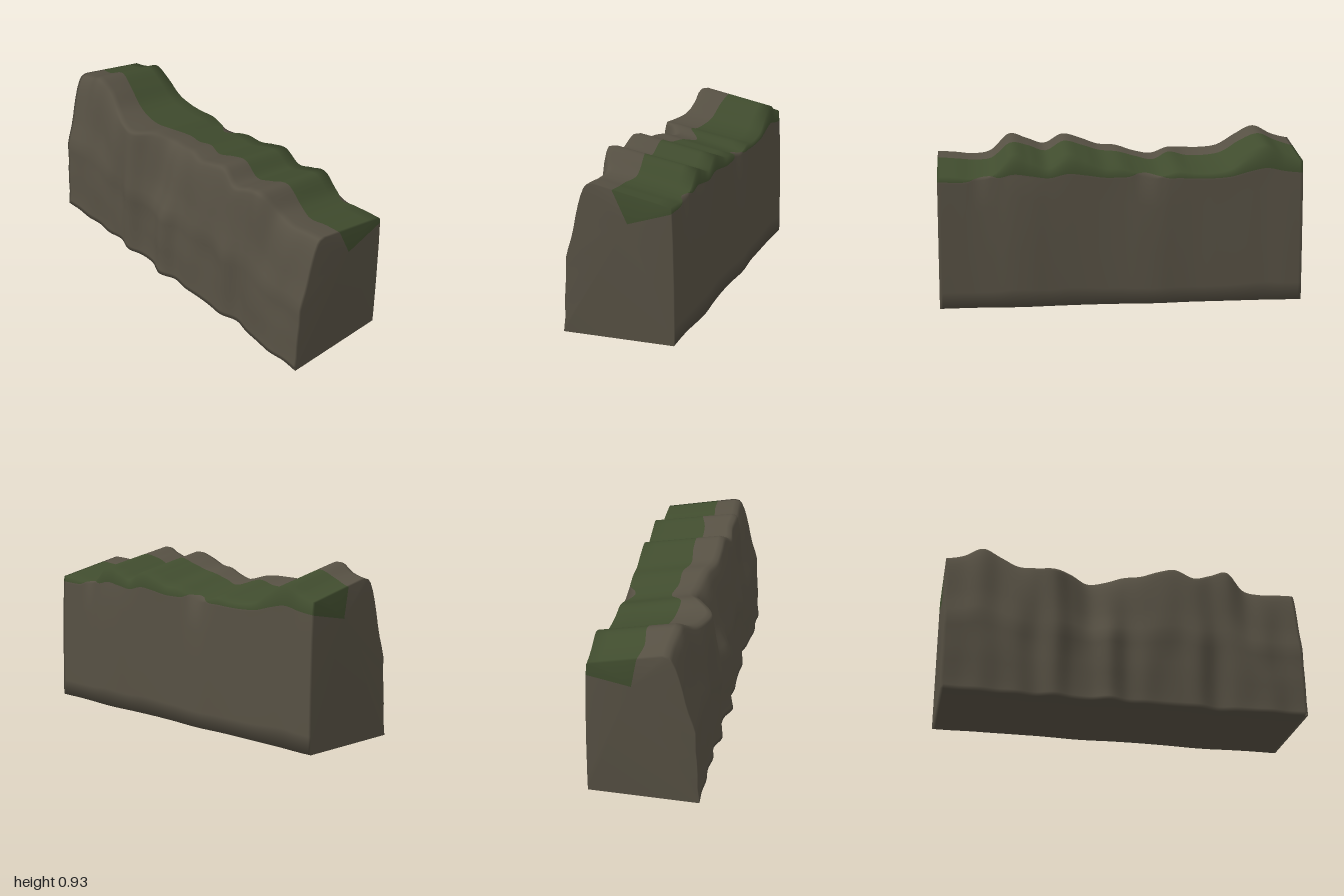
import * as THREE from 'three';

// Smooth curve through values spaced evenly from x = -1 to x = 1
function along(values) {
  const curve = new THREE.SplineCurve(values.map((v, i) => new THREE.Vector2(i, v)));
  return (x) => curve.getPoint((x + 1) / 2).y;
}

// Height of the ridge
const ridge = along([.86, .885, .93, .885, .82, .80, .80, .81, .785, .80, .83,
  .835, .87, .893, .84, .87, .895, .81, .79, .80, .807]);
// Depth of the upper front edge
const crest = along([.13, .13, .15, .15, .18, .22, .235, .16, .11, .12, .14,
  .17, .18, .18, .2, .19, .2, .16, .165, .16, .155]);
// Depth of the foot of the front face
const foot = along([.29, .285, .29, .28, .29, .275, .305, .28, .28, .315, .28,
  .29, .285, .285, .29, .26, .28, .29, .30, .29, .297]);
// Front limit of the moss
const mossEdge = along([-.03, -.01, -.02, 0, .02, .04, .05, .05, -.02, 0, 0,
  .03, .02, .02, .03, .03, 0, 0, .03, .02, .02]);
// Depth of the foot of the back face
const backFoot = along([-.305, -.305, -.3, -.3, -.3, -.3, -.3, -.305, -.312, -.31, -.303,
  -.3, -.3, -.303, -.308, -.315, -.315, -.308, -.303, -.303, -.305]);

// Front face profile: [share of the height, share of the way from foot to crest]
const face = [[0, 0], [.03, .02], [.1, .07], [.2, .07], [.3, .1], [.37, .14], [.44, .145], [.5, .15],
  [.56, .24], [.63, .37], [.7, .47], [.78, .56], [.86, .67], [.92, .77], [.97, .89]];
const MOSS_START = face.length + 2;
const MOSS_END = MOSS_START + 5;

const bump = (x, centre, width) => Math.exp(-(((x - centre) / width) ** 2));

// One cross-section [y, z], from the front foot over the top to the back foot
function section(x) {
  const h = ridge(x), c = crest(x), f = foot(x), m = mossEdge(x), b = backFoot(x);
  const edge = h - .085;
  const fade = Math.min(1, (1 - Math.abs(x)) * 6);
  const ring = face.map(([t, k]) => {
    const wave = Math.sin(x * 9 + t * 8) * .6 + Math.sin(x * 23 - t * 5) * .4;
    return [t * h, f + (c - f) * k + .01 * fade * wave * Math.sin(Math.PI * t)];
  });
  const topY = (z) => h - .085 * Math.max(0, c - .03 - z) / (c + .255);
  ring.push([h - .006, c], [h, c - .03]);

  // Point at a distance past the back edge: down the back, or on the top if negative
  const past = (d) => (d >= 0 ? [edge - d, -.285 - .006 * Math.min(1, d / .03)] : [topY(-.285 - d), -.285 - d]);
  // Moss hangs lower behind the peaks and leaves bare notches in the dips
  const hang = .03 + .6 * (h - .805) - .07 * bump(x, -.14, .07) - .05 * bump(x, .75, .06);
  const lastZ = -.285 - Math.min(0, hang);
  for (let k = 0; k < 5; k++) {
    const z = m + (lastZ - m) * k / 4;
    ring.push([topY(z), z]);
  }
  ring.push(past(hang), past(Math.max(0, hang) + .01));
  ring.push([edge * .75, b + .008], [edge * .4, b + .002], [edge * .12, b], [0, b]);
  return ring;
}

export function createModel() {
  const rock = new THREE.MeshStandardMaterial({ color: 0x565043 });
  rock.name = 'rock';
  const moss = new THREE.MeshStandardMaterial({ color: 0x404c2e });
  moss.name = 'moss';

  const columns = 120, positions = [], rockFaces = [], mossFaces = [];
  for (let i = 0; i <= columns; i++) {
    const x = -1 + 2 * i / columns;
    for (const [y, z] of section(x)) positions.push(x, y, z);
  }
  const rows = positions.length / 3 / (columns + 1);
  const facesOf = (j) => (j >= MOSS_START && j < MOSS_END ? mossFaces : rockFaces);

  // Front, top, back and underside
  for (let i = 0; i < columns; i++) {
    for (let j = 0; j < rows; j++) {
      const n = (j + 1) % rows;
      const a = i * rows + j, b = a + rows, d = i * rows + n, c = d + rows;
      facesOf(j).push(a, b, c, a, c, d);
    }
  }

  // End walls, fanned from the lowest point of the moss
  for (const side of [-1, 1]) {
    const hub = positions.length / 3;
    positions.push(side, ridge(side) - .19, -.06);
    const first = side > 0 ? columns * rows : 0;
    for (let j = 0; j < rows; j++) {
      const a = first + j, b = first + (j + 1) % rows;
      facesOf(j).push(hub, ...(side > 0 ? [b, a] : [a, b]));
    }
  }

  const geometry = new THREE.BufferGeometry();
  geometry.setAttribute('position', new THREE.Float32BufferAttribute(positions, 3));
  geometry.setIndex([...rockFaces, ...mossFaces]);
  geometry.addGroup(0, rockFaces.length, 0);
  geometry.addGroup(rockFaces.length, mossFaces.length, 1);
  geometry.computeVertexNormals();

  const cliff = new THREE.Mesh(geometry, [rock, moss]);
  cliff.name = 'mossyCliff';
  const group = new THREE.Group();
  group.name = 'cliffSection';
  group.add(cliff);
  return group;
}
